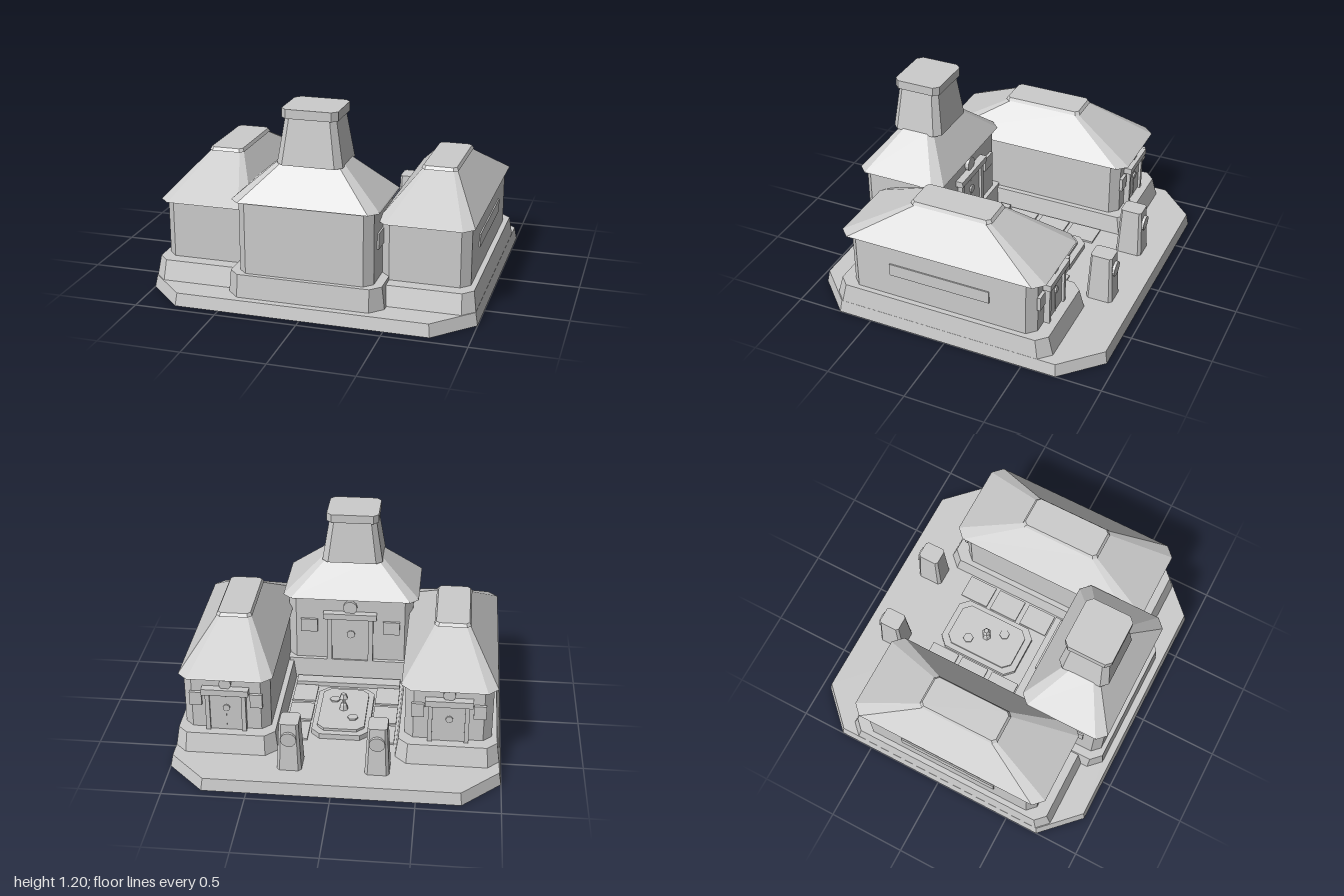
import * as THREE from 'three';

// Double-sided because the base slab is an open shell underneath
const stone = new THREE.MeshStandardMaterial({ color: 0xcccccc, flatShading: true, side: THREE.DoubleSide });
stone.name = 'pale stone';

// Chamfered rectangle, counter-clockwise seen from above
const ring = ([y, hw, hd, c]) => [
  [hw, hd - c], [hw, c - hd], [hw - c, -hd], [c - hw, -hd],
  [-hw, c - hd], [-hw, hd - c], [c - hw, hd], [hw - c, hd],
].map(([x, z]) => [x, y, z]);

// Block through levels of [height, half width, half depth, chamfer]
function loft(levels, openBelow = false) {
  const rings = levels.map(ring);
  const pos = [];
  const tri = (...p) => p.forEach((v) => pos.push(...v));
  for (let k = 0; k + 1 < rings.length; k++) {
    for (let i = 0; i < 8; i++) {
      const j = (i + 1) % 8, a = rings[k], b = rings[k + 1];
      tri(a[i], a[j], b[j]);
      tri(a[i], b[j], b[i]);
    }
  }
  const lo = rings[0], hi = rings[rings.length - 1];
  for (let i = 1; i < 7; i++) {
    if (!openBelow) tri(lo[0], lo[i + 1], lo[i]);
    tri(hi[0], hi[i], hi[i + 1]);
  }
  const g = new THREE.BufferGeometry();
  g.setAttribute('position', new THREE.Float32BufferAttribute(pos, 3));
  g.computeVertexNormals();
  return g;
}

function add(parent, name, geometry, x = 0, y = 0, z = 0) {
  const m = new THREE.Mesh(geometry, stone);
  m.name = name;
  m.position.set(x, y, z);
  parent.add(m);
  return m;
}

const box = (parent, name, w, h, d, x, y, z) => add(parent, name, new THREE.BoxGeometry(w, h, d), x, y, z);

const disc = (parent, name, r, d, x, y, z) =>
  add(parent, name, new THREE.CylinderGeometry(r, r, d, 12).rotateX(Math.PI / 2), x, y, z);

// Doorway facing -z, standing on its own origin; w and h are the door opening
function doorway(name, w, h, winX, winW) {
  const g = new THREE.Group();
  g.name = name;
  box(g, 'door', w, h, 0.02, 0, h / 2, -0.01);
  box(g, 'doorSeam', 0.006, h, 0.004, 0, h / 2, -0.021);
  disc(g, 'doorMedallion', w * 0.1, 0.012, -w * 0.02, h * 0.62, -0.024);
  box(g, 'lintel', w * 1.3, 0.04, 0.05, 0, h + 0.02, -0.025);
  disc(g, 'crest', w * 0.17, 0.024, 0, h + 0.04 + w * 0.13, -0.014);
  for (const s of [-1, 1]) {
    box(g, 'doorPost', w * 0.12, h, 0.036, s * w * 0.5, h / 2, -0.018);
    box(g, 'window', winW, 0.09, 0.02, s * winX, h * 0.64 + 0.045, -0.01);
  }
  return g;
}

export function createModel() {
  const model = new THREE.Group();
  model.name = 'courtyardTemple';

  add(model, 'baseSlab', loft([[0, 1, 0.946, 0.23], [0.078, 0.986, 0.932, 0.225]], true));

  // Two side wings
  for (const s of [-1, 1]) {
    const wing = new THREE.Group();
    wing.name = s > 0 ? 'leftWing' : 'rightWing';
    wing.position.set(s * 0.671, 0, 0.053);
    model.add(wing);
    add(wing, 'wingPlinth', loft([[0.078, 0.314, 0.717, 0.07], [0.197, 0.297, 0.685, 0.06]]));
    add(wing, 'wingWalls', loft([[0.197, 0.264, 0.605, 0.053], [0.565, 0.264, 0.605, 0.053]]));
    add(wing, 'wingRoof', loft([[0.557, 0.287, 0.66, 0.06], [0.562, 0.284, 0.652, 0.06], [0.777, 0.104, 0.244, 0.02]]));
    add(wing, 'wingRoofCap', loft([[0.777, 0.112, 0.264, 0.024], [0.797, 0.101, 0.25, 0.02]]));
    box(wing, 'sideWindow', 0.012, 0.08, 0.65, s * 0.266, 0.388, 0.002);
    const door = doorway('wingDoorway', 0.22, 0.25, 0.185, 0.075);
    door.position.set(0, 0.197, -0.605);
    wing.add(door);
  }

  // Main hall with its tower
  const hall = new THREE.Group();
  hall.name = 'mainHall';
  hall.position.z = 0.584;
  model.add(hall);
  add(hall, 'hallPlinth', loft([[0.078, 0.475, 0.305, 0.075], [0.218, 0.46, 0.293, 0.06]]));
  add(hall, 'hallWalls', loft([[0.218, 0.407, 0.265, 0.05], [0.67, 0.407, 0.265, 0.05]]));
  add(hall, 'hallRoof', loft([[0.66, 0.443, 0.29, 0.055], [0.667, 0.438, 0.285, 0.055], [0.886, 0.19, 0.108, 0.03]]));
  add(hall, 'tower', loft([[0.871, 0.197, 0.166, 0.04], [1.145, 0.153, 0.133, 0.032]]));
  add(hall, 'towerCap', loft([[1.145, 0.168, 0.151, 0.032], [1.2, 0.168, 0.151, 0.032]]));
  for (const s of [-1, 1]) box(hall, 'hallSideWindow', 0.02, 0.095, 0.13, s * 0.407, 0.455, 0.08);
  const hallDoor = doorway('hallDoorway', 0.27, 0.31, 0.27, 0.11);
  hallDoor.position.set(0, 0.218, -0.262);
  hall.add(hallDoor);

  // Gate pylons
  for (const s of [-1, 1]) {
    const pylon = new THREE.Group();
    pylon.name = 'gatePylon';
    pylon.position.set(s * 0.262, 0, -0.719);
    model.add(pylon);
    add(pylon, 'pylonShaft', loft([[0.078, 0.074, 0.084, 0.018], [0.391, 0.058, 0.068, 0.014]]));
    disc(pylon, 'pylonDisc', 0.048, 0.024, 0, 0.294, -0.074).rotation.x = -0.05;
  }

  // Courtyard paving and step
  for (const s of [-1, 1]) {
    for (const z of [-0.376, -0.156, 0.068]) box(model, 'pavingSlab', 0.15, 0.012, 0.192, s * 0.268, 0.084, z);
  }
  box(model, 'hallStep', 0.68, 0.03, 0.08, 0, 0.093, 0.214);

  // Central dais with stepping stones and a small lantern
  const dais = new THREE.Group();
  dais.name = 'dais';
  dais.position.set(-0.004, 0, -0.171);
  model.add(dais);
  add(dais, 'daisLower', loft([[0.078, 0.18, 0.275, 0.055], [0.113, 0.18, 0.275, 0.055]]));
  add(dais, 'daisUpper', loft([[0.113, 0.147, 0.235, 0.045], [0.13, 0.147, 0.235, 0.045]]));
  for (const [x, z] of [[-0.068, -0.103], [0.064, 0.1]]) {
    add(dais, 'steppingStone', new THREE.CylinderGeometry(0.034, 0.034, 0.012, 6).rotateY(Math.PI / 6), x, 0.134, z);
  }
  const profile = [[0, 0.13], [0.03, 0.13], [0.022, 0.165], [0.012, 0.175], [0.012, 0.2], [0.03, 0.21], [0.016, 0.24], [0, 0.24]];
  add(dais, 'lantern', new THREE.LatheGeometry(profile.map(([x, y]) => new THREE.Vector2(x, y)), 6));

  return model;
}
